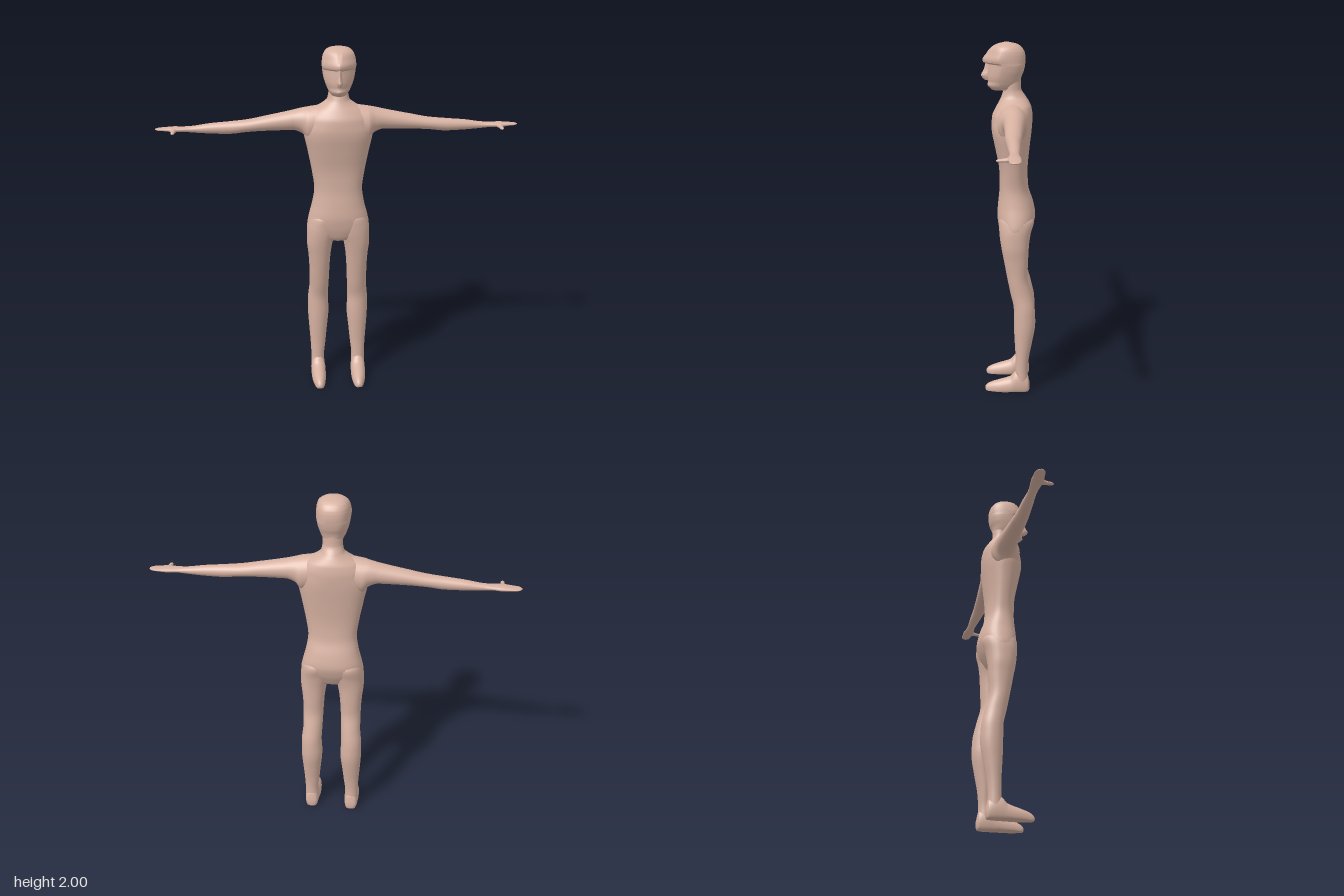
import * as THREE from 'three';
import { toCreasedNormals } from 'three/addons/utils/BufferGeometryUtils.js';

const skin = new THREE.MeshStandardMaterial({ color: 0xd6b1a1 });
skin.name = 'skin';

// Smooth interpolation between section rows, without overshoot
function sample(rows, i, k, col) {
  const slope = (j) => (rows[j + 1][col] - rows[j][col]) / (rows[j + 1][0] - rows[j][0]);
  const tangent = (j) => {
    if (j === 0) return slope(0);
    if (j === rows.length - 1) return slope(j - 1);
    const a = slope(j - 1), b = slope(j);
    return a * b <= 0 ? 0 : (2 * a * b) / (a + b);
  };
  const h = rows[i + 1][0] - rows[i][0], k2 = k * k, k3 = k2 * k;
  return (2 * k3 - 3 * k2 + 1) * rows[i][col] + (k3 - 2 * k2 + k) * h * tangent(i)
    + (3 * k2 - 2 * k3) * rows[i + 1][col] + (k3 - k2) * h * tangent(i + 1);
}

// Skin superellipse sections along an axis.
// Row: [t, uMin, uMax, vMin, vMax, power, front power, fraction of v where it is widest]
function loft(axis, input, sides = 28, steps = 4) {
  const rows = input.map((r) => [...r.slice(0, 5), r[5] ?? 2, r[6] ?? r[5] ?? 2, r[7] ?? 0.5]);
  const pos = [], index = [];
  const put = (t, u, v) => {
    const p = axis === 'x' ? [t, u, v] : axis === 'y' ? [u, t, v] : [u, v, t];
    pos.push(p[0], Math.max(0, p[1]), p[2]);
  };
  const ring = (i, k) => {
    const t = rows[i][0] + (rows[i + 1][0] - rows[i][0]) * k;
    const [u0, u1, v0, v1, pBack, pFront, f] = [1, 2, 3, 4, 5, 6, 7].map((c) => sample(rows, i, k, c));
    const uc = (u0 + u1) / 2, vc = v0 + (v1 - v0) * f;
    for (let j = 0; j < sides; j++) {
      const a = (j / sides) * Math.PI * 2 * (axis === 'y' ? -1 : 1);
      const c = Math.cos(a), s = Math.sin(a), e = 2 / (s > 0 ? pFront : pBack);
      const u = uc + Math.sign(c) * Math.abs(c) ** e * (u1 - u0) / 2;
      const v = vc + Math.sign(s) * Math.abs(s) ** e * (s > 0 ? v1 - vc : vc - v0);
      put(t, u, v);
    }
  };
  for (let i = 0; i < rows.length - 1; i++) for (let k = 0; k < steps; k++) ring(i, k / steps);
  ring(rows.length - 2, 1);
  const rings = (rows.length - 1) * steps + 1;
  for (let i = 0; i < rings - 1; i++) {
    for (let j = 0; j < sides; j++) {
      const a = i * sides + j, b = i * sides + (j + 1) % sides;
      index.push(a, b, b + sides, a, b + sides, a + sides);
    }
  }
  // End caps
  const first = rows[0], last = rows[rows.length - 1], n = rings * sides, top = n - sides;
  for (const r of [first, last]) put(r[0], (r[1] + r[2]) / 2, (r[3] + r[4]) / 2);
  for (let j = 0; j < sides; j++) {
    const m = (j + 1) % sides;
    index.push(n, m, j, n + 1, top + j, top + m);
  }
  const g = new THREE.BufferGeometry();
  g.setAttribute('position', new THREE.Float32BufferAttribute(pos, 3));
  g.setIndex(index);
  g.computeVertexNormals();
  return g;
}

// Rows centred on x: [y, half width, back z, front z, ...]
const centred = (rows) => rows.map(([y, w, ...rest]) => [y, -w, w, ...rest]);

function mirrored(geometry) {
  const g = geometry.clone().scale(-1, 1, 1);
  const ix = g.index.array;
  for (let i = 0; i < ix.length; i += 3) [ix[i], ix[i + 1]] = [ix[i + 1], ix[i]];
  g.computeVertexNormals();
  return g;
}

export function createModel() {
  const model = new THREE.Group();
  model.name = 'humanFigure';
  const add = (name, geometry) => {
    const mesh = new THREE.Mesh(geometry, skin);
    mesh.name = name;
    model.add(mesh);
  };
  const addPair = (name, geometry) => {
    add(name + 'Left', geometry);
    add(name + 'Right', mirrored(geometry));
  };

  // Pelvis, waist, chest, shoulders and neck
  add('torso', loft('y', centred([
    [0.885, 0.03, -0.06, 0.0],
    [0.9, 0.1, -0.09, 0.03],
    [0.93, 0.155, -0.11, 0.045],
    [0.98, 0.177, -0.135, 0.058, 2.2],
    [1.04, 0.166, -0.15, 0.065, 2.3],
    [1.11, 0.148, -0.138, 0.06, 2.3],
    [1.2, 0.135, -0.11, 0.052, 2.3],
    [1.29, 0.146, -0.105, 0.053, 2.3],
    [1.43, 0.172, -0.116, 0.077, 2.3],
    [1.54, 0.192, -0.128, 0.096, 2.2],
    [1.6, 0.185, -0.131, 0.092],
    [1.65, 0.15, -0.124, 0.07],
    [1.685, 0.09, -0.108, 0.051],
    [1.71, 0.062, -0.092, 0.04],
    [1.75, 0.054, -0.068, 0.03],
    [1.82, 0.056, -0.066, 0.03],
  ]), 40));

  // Head with flat sides and a wedge-shaped face
  add('head', toCreasedNormals(loft('y', centred([
    [1.742, 0.038, -0.05, 0.09, 2.3, 1.6, 0.6],
    [1.755, 0.048, -0.058, 0.106, 2.3, 1.6, 0.6],
    [1.77, 0.057, -0.062, 0.118, 2.4, 1.5, 0.6],
    [1.785, 0.064, -0.064, 0.114, 2.5, 1.45, 0.6],
    [1.81, 0.074, -0.068, 0.119, 2.6, 1.4, 0.6],
    [1.85, 0.085, -0.083, 0.118, 2.6, 1.35, 0.6],
    [1.883, 0.09, -0.089, 0.116, 2.6, 1.3, 0.6],
    [1.893, 0.091, -0.09, 0.14, 2.6, 1.3, 0.6],
    [1.907, 0.092, -0.091, 0.143, 2.6, 1.3, 0.6],
    [1.94, 0.089, -0.088, 0.122, 2.6, 1.4, 0.6],
    [1.97, 0.079, -0.073, 0.099, 2.6, 1.6, 0.6],
    [1.99, 0.056, -0.045, 0.065, 2.4, 2, 0.5],
    [2.0, 0.018, -0.005, 0.03],
  ]), 40), 0.6));
  add('nose', toCreasedNormals(loft('y', centred([
    [1.797, 0.012, 0.09, 0.132, 2, 1.4],
    [1.822, 0.018, 0.09, 0.153, 2, 1.3],
    [1.85, 0.012, 0.09, 0.138, 2, 1.3],
    [1.89, 0.01, 0.09, 0.126, 2, 1.4],
  ]), 16, 2), 0.6));

  // Arm running out into a flat hand: [x, y range, z range]
  addPair('arm', loft('x', [
    [0.08, 1.5, 1.68, -0.1, 0.06],
    [0.16, 1.475, 1.668, -0.106, 0.06],
    [0.2, 1.52, 1.66, -0.096, 0.038],
    [0.25, 1.537, 1.648, -0.088, 0.027],
    [0.4, 1.535, 1.618, -0.076, 0.018],
    [0.5, 1.53, 1.599, -0.07, 0.014],
    [0.6, 1.52, 1.589, -0.065, 0.006],
    [0.7, 1.523, 1.58, -0.063, -0.002],
    [0.8, 1.53, 1.566, -0.058, -0.01],
    [0.85, 1.535, 1.563, -0.061, -0.006],
    [0.9, 1.535, 1.563, -0.067, -0.002, 2.2],
    [0.95, 1.541, 1.558, -0.067, -0.008, 2.3],
    [0.985, 1.543, 1.556, -0.061, -0.014],
    [1.0, 1.547, 1.552, -0.045, -0.03],
  ]));
  addPair('thumb', loft('z', [
    [-0.035, 0.865, 0.935, 1.538, 1.56],
    [-0.008, 0.877, 0.922, 1.536, 1.558],
    [0.012, 0.888, 0.912, 1.534, 1.554],
    [0.04, 0.89, 0.911, 1.535, 1.55],
    [0.052, 0.897, 0.905, 1.54, 1.545],
  ], 16));

  // Leg from ankle to hip: [y, x range, z range]
  addPair('leg', loft('y', [
    [0.04, 0.08, 0.16, -0.116, -0.03],
    [0.12, 0.083, 0.16, -0.111, -0.04],
    [0.2, 0.075, 0.163, -0.117, -0.04],
    [0.3, 0.065, 0.17, -0.135, -0.035],
    [0.42, 0.054, 0.177, -0.153, -0.03],
    [0.5, 0.058, 0.176, -0.15, -0.03],
    [0.6, 0.054, 0.167, -0.13, -0.01],
    [0.7, 0.05, 0.167, -0.107, 0.01],
    [0.8, 0.043, 0.172, -0.11, 0.028, 2.2],
    [0.88, 0.03, 0.18, -0.114, 0.043, 2.2],
    [0.95, 0.01, 0.179, -0.124, 0.052, 2.2],
    [1.02, 0.005, 0.169, -0.142, 0.055],
    [1.07, 0.03, 0.13, -0.11, 0.03],
  ]));

  // Foot, flat where it meets the ground: [z, x range, y range]
  addPair('foot', loft('z', [
    [-0.122, 0.1, 0.14, 0.01, 0.05],
    [-0.11, 0.085, 0.155, -0.02, 0.1],
    [-0.07, 0.079, 0.162, -0.03, 0.125],
    [-0.04, 0.077, 0.163, -0.03, 0.118],
    [-0.01, 0.076, 0.162, -0.03, 0.086],
    [0.05, 0.079, 0.157, -0.03, 0.066],
    [0.1, 0.087, 0.145, -0.03, 0.05],
    [0.128, 0.097, 0.134, -0.015, 0.034],
    [0.137, 0.108, 0.123, 0.008, 0.02],
  ]));

  return model;
}
